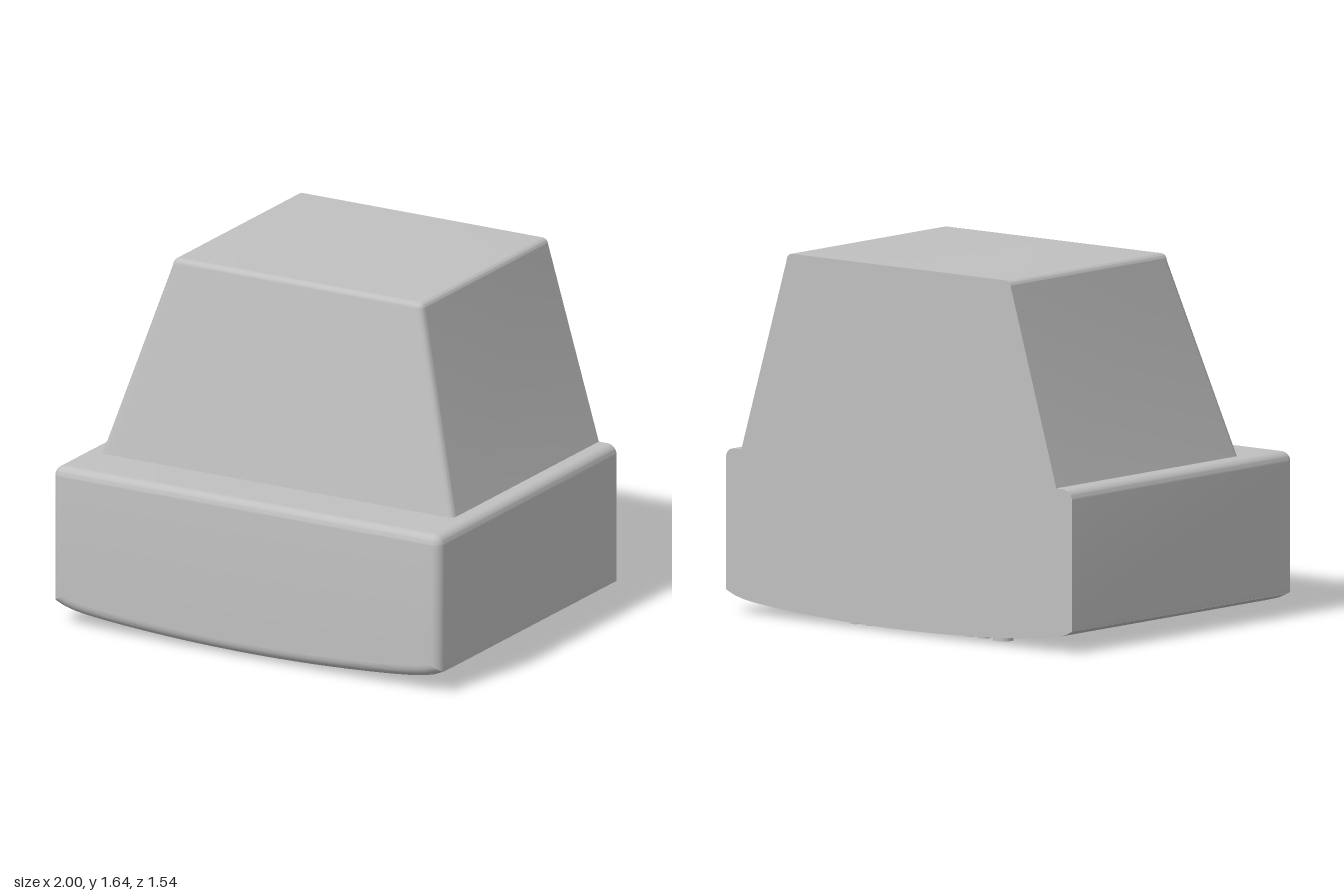
import * as THREE from 'three';
import { toCreasedNormals } from 'three/addons/utils/BufferGeometryUtils.js';

const BACK = -0.77, FRONT = 0.77, TOP = 0.735, R = 0.045;
const V = (x, y, z) => new THREE.Vector3(x, y, z);
const range = (a, b, n) => Array.from({ length: n + 1 }, (_, i) => a + (b - a) * i / n);

// Bowed face: lowest in the middle, curling up at the sides and at the front edge
const bow = x => 0.015 + 0.055 * x * x + 0.03 * Math.abs(x) ** 16;
const frontCurl = z => z > 0.715 ? 0.055 - Math.sqrt(Math.max(0, 0.055 ** 2 - (z - 0.715) ** 2)) : 0;
const faceY = (x, z) => bow(x) + frontCurl(z);
const halfWidth = z => z > FRONT - R ? 1 - R + Math.sqrt(Math.max(0, R * R - (z - FRONT + R) ** 2)) : 1;

// Surface through rows of points; its outside is (row direction) x (along direction)
function grid(rows) {
  const pos = [];
  const tri = (a, b, c) => {
    if (b.clone().sub(a).cross(c.clone().sub(a)).length() > 1e-9) {
      for (const p of [a, b, c]) pos.push(p.x, p.y, p.z);
    }
  };
  for (let j = 0; j + 1 < rows.length; j++) {
    for (let i = 0; i + 1 < rows[j].length; i++) {
      const a = rows[j][i], b = rows[j][i + 1], c = rows[j + 1][i], d = rows[j + 1][i + 1];
      tri(a, c, b);
      tri(b, c, d);
    }
  }
  const g = new THREE.BufferGeometry();
  g.setAttribute('position', new THREE.Float32BufferAttribute(pos, 3));
  return toCreasedNormals(g, 0.55);
}

// Open U outline, rounded at the two front corners, running from +x round to -x
function outline(w, zf, r) {
  const half = [[w, BACK]];
  for (const t of range(0, Math.PI / 2, 8)) {
    half.push([w - r + r * Math.cos(t), zf - r + r * Math.sin(t)]);
  }
  const middle = range(w - r, r - w, 40).slice(1, -1).map(x => [x, zf]);
  return [...half, ...middle, ...half.slice().reverse().map(([x, z]) => [-x, z])];
}

// Rounded shoulder closing into a flat top
function shoulder(w, zf, top, r, corner) {
  const rows = range(0, Math.PI / 2, 7).map(t => {
    const d = r * (1 - Math.cos(t));
    return outline(w - d, zf - d, Math.max(corner - d, 0.002))
      .map(([x, z]) => V(x, top - r + r * Math.sin(t), z));
  });
  rows.push(rows[rows.length - 1].map(p => V(0, p.y, p.z)));
  return rows;
}

export function createModel() {
  const model = new THREE.Group();
  const grey = new THREE.MeshStandardMaterial({ color: 0xc0c0c0 });
  grey.name = 'casing grey';
  const add = (name, geometry, parent = model) => {
    const m = new THREE.Mesh(geometry, grey);
    m.name = name;
    parent.add(m);
    return m;
  };
  const group = name => {
    const g = new THREE.Group();
    g.name = name;
    model.add(g);
    return g;
  };

  // Wide casing
  add('casing', grid([
    outline(1, FRONT, R).map(([x, z]) => V(x, faceY(x, z), z)),
    ...shoulder(1, FRONT, TOP, R, R),
  ]));

  // Tapered housing
  add('taperedHousing', grid([
    outline(0.91, 0.5, 0.03).map(([x, z]) => V(x, TOP - 0.005, z)),
    ...shoulder(0.648, 0.326, 1.64, 0.03, 0.03),
  ]));

  // Flat panel closing casing and housing
  const side = [[1, TOP - R]];
  for (const t of range(0, Math.PI / 2, 6)) {
    side.push([1 - R + R * Math.cos(t), TOP - R + R * Math.sin(t)]);
  }
  side.push([0.91, TOP]);
  for (const t of range(0, Math.PI / 2, 6)) {
    side.push([0.618 + 0.03 * Math.cos(t), 1.61 + 0.03 * Math.sin(t)]);
  }
  const panel = new THREE.Shape([
    ...range(-1, 1, 40).map(x => [x, bow(x)]),
    ...side,
    ...side.slice().reverse().map(([x, y]) => [-x, y]),
  ].map(([x, y]) => new THREE.Vector2(x, y)));
  const panelMesh = add('backPanel', new THREE.ShapeGeometry(panel));
  panelMesh.rotation.y = Math.PI;
  panelMesh.position.z = BACK;

  // Bowed face pieces and the pockets sunk in them
  const patch = (x0, x1, zs, depth = 0) => grid(range(x0, x1, 40).map(u => zs.map(z => {
    const x = u * halfWidth(z);
    return V(x, faceY(x, z) + depth, z);
  })));
  const pocket = (name, x0, x1, z0, z1, depth, parent) => {
    add(name + 'Floor', patch(x0, x1, [z0, z1], depth), parent);
    const path = [[x1, z1], ...range(x1, x0, 40).map(x => [x, z0]), ...range(x0, x1, 40).map(x => [x, z1])];
    add(name + 'Walls', grid([0, depth].map(d => path.map(([x, z]) => V(x, bow(x) + d, z)))), parent);
  };

  // Screen and the frame around it
  const SX = 0.88, S0 = -0.5, S1 = 0.65;
  const frame = group('screenFrame');
  const cornerZ = range(0, Math.PI / 2, 8).map(t => FRONT - R + R * Math.sin(t));
  add('frameFront', patch(-1, 1, [S1, 0.69, 0.715, ...cornerZ]), frame);
  add('frameLeft', patch(SX, 1, [S0, S1]), frame);
  add('frameRight', patch(-1, -SX, [S0, S1]), frame);
  pocket('screen', -SX, SX, S0, S1, 0.035, group('screen'));

  // Control strip with four vent slots at each end
  const strip = group('controlStrip');
  const vents = group('ventSlots');
  const slotZ = [-0.73, -0.675, -0.62, -0.565], V0 = 0.62, V1 = 0.93, HALF = 0.013;
  add('stripMiddle', patch(-V0, V0, [BACK, S0]), strip);
  for (const s of [-1, 1]) {
    const [a, b] = s > 0 ? [V0, V1] : [-V1, -V0];
    add('stripEnd', s > 0 ? patch(V1, 1, [BACK, S0]) : patch(-1, -V1, [BACK, S0]), strip);
    let z = BACK;
    for (const c of slotZ) {
      add('ventBar', patch(a, b, [z, c - HALF]), strip);
      pocket('ventSlot', a, b, c - HALF, c + HALF, 0.04, vents);
      z = c + HALF;
    }
    add('ventBar', patch(a, b, [z, S0]), strip);
  }

  // Knob, buttons and marker bars
  const controls = group('controls');
  const button = (name, x, z, r) => {
    add(name, new THREE.CylinderGeometry(r, r, 0.045, 24), controls).position.set(x, 0.0225, z);
  };
  button('knob', -0.495, -0.64, 0.045);
  for (const x of [-0.385, -0.305, -0.23, -0.15]) button('roundButton', x, -0.64, 0.027);
  for (const z of [-0.605, -0.68]) {
    for (const x of [0.235, 0.325]) button('smallButton', x, z, 0.023);
    add('markerBar', new THREE.BoxGeometry(0.09, 0.03, 0.016), controls).position.set(0.435, 0.03, z);
  }
  return model;
}
